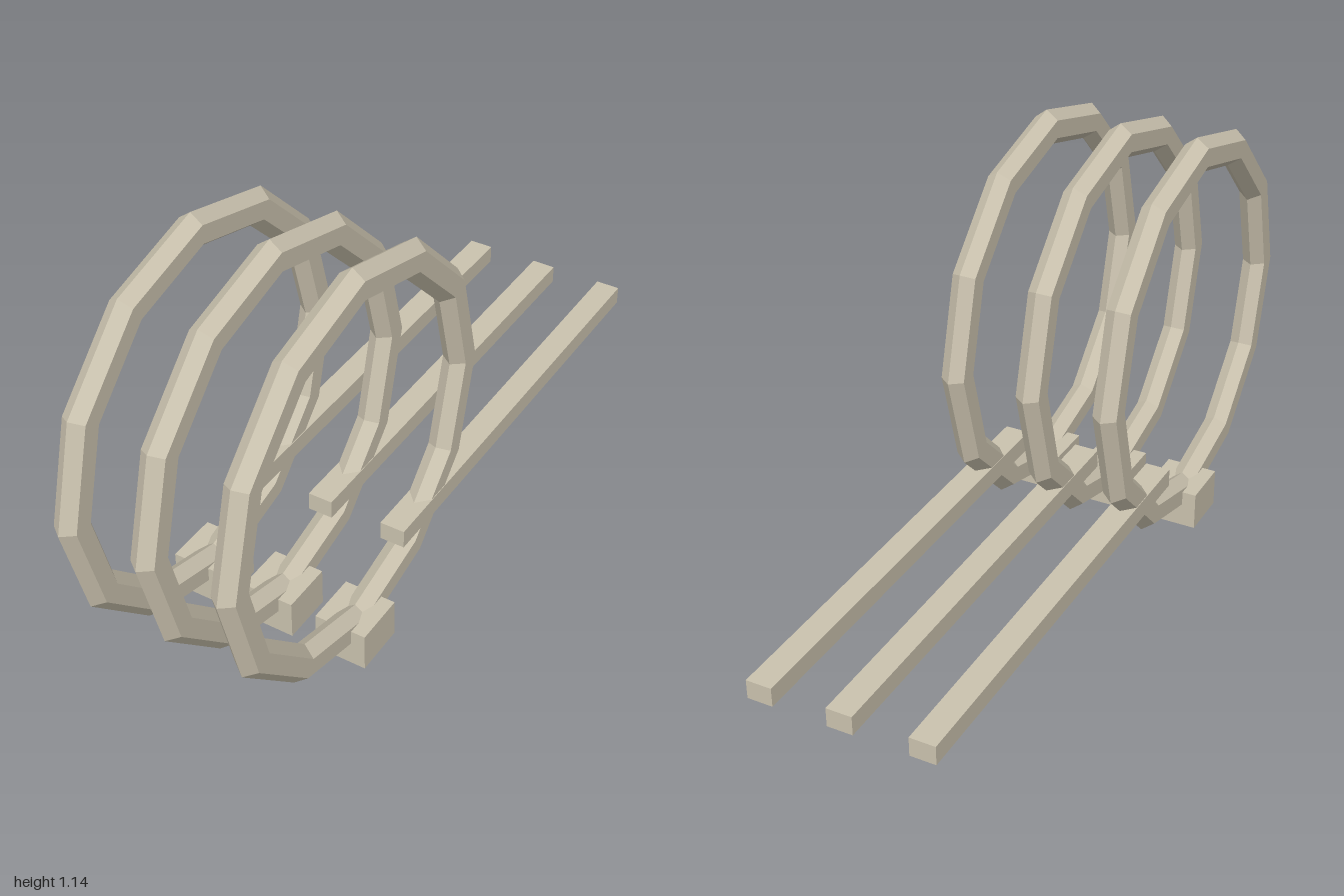
import * as THREE from 'three';

export function createModel() {
  const model = new THREE.Group();
  model.name = 'ringRack';
  const stone = new THREE.MeshStandardMaterial({ color: 0xcbc3af, flatShading: true });
  stone.name = 'paleStone';

  // Twelve-sided ring with a narrow hexagonal section, standing in the yz plane
  const ringGeometry = new THREE.TorusGeometry(0.5065, 0.05, 6, 12);
  ringGeometry.scale(1, 1, 0.76);
  ringGeometry.rotateY(Math.PI / 2);
  const footGeometry = new THREE.BoxGeometry(0.144, 0.108, 0.144);
  const barGeometry = new THREE.BoxGeometry(0.069, 0.052, 1.265);

  const add = (parent, name, geometry, y, z) => {
    const mesh = new THREE.Mesh(geometry, stone);
    mesh.name = name;
    mesh.position.set(0, y, z);
    parent.add(mesh);
  };

  // Three identical units side by side
  ['right', 'middle', 'left'].forEach((side, i) => {
    const unit = new THREE.Group();
    unit.name = side + 'Unit';
    unit.position.x = (i - 1) * 0.216;
    add(unit, side + 'Ring', ringGeometry, 0.58, 0.4435);
    add(unit, side + 'Foot', footGeometry, 0.054, 0.4435);
    add(unit, side + 'Bar', barGeometry, 0.218, -0.3675);
    model.add(unit);
  });
  return model;
}
